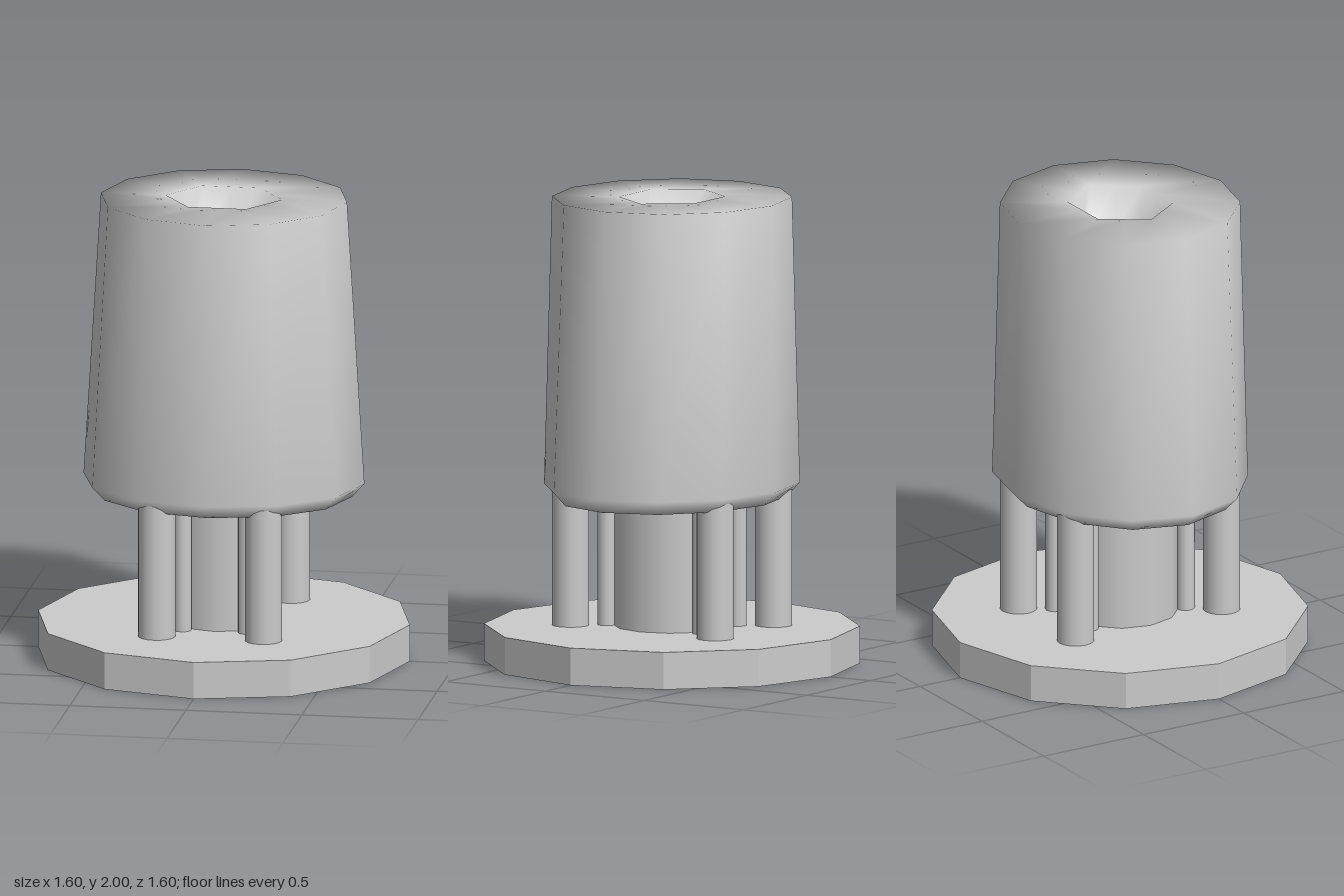
import * as THREE from 'three';

const grey = () => new THREE.MeshStandardMaterial({ color: 0xcccccc });

function add(group, name, geometry, x, y, z, flat = false) {
  const material = grey();
  material.flatShading = flat;
  const mesh = new THREE.Mesh(geometry, material);
  mesh.name = name;
  mesh.position.set(x, y, z);
  group.add(mesh);
  return mesh;
}

const SIDES = 12;

// Twelve-sided oval ring
function ovalRing(rx, rz, y) {
  return Array.from({ length: SIDES }, (_, i) => {
    const a = (i / SIDES) * Math.PI * 2;
    return [rx * Math.sin(a), y, rz * Math.cos(a)];
  });
}

// Hexagon ring with a point at the middle of each side
function hexRing(rx, rz, y) {
  const corner = (k) => {
    const a = Math.PI / 2 + (k * Math.PI) / 3;
    return [rx * Math.sin(a), y, rz * Math.cos(a)];
  };
  const points = [];
  for (let i = 0; i < SIDES; i++) {
    const k = (i - 3) / 2; // ring starts at +z, corners start at +x
    const a = corner(Math.floor(k)), b = corner(Math.ceil(k));
    points.push(a.map((v, j) => (v + b[j]) / 2));
  }
  return points;
}

// Smooth skin through the rings, closed by a centre point at both ends
function loft(rings) {
  const positions = [], index = [];
  rings.forEach((ring) => ring.forEach((p) => positions.push(...p)));
  const bottom = positions.length / 3;
  positions.push(0, rings[0][0][1], 0);
  positions.push(0, rings[rings.length - 1][0][1], 0);
  const last = (rings.length - 1) * SIDES;
  for (let i = 0; i < SIDES; i++) {
    const j = (i + 1) % SIDES;
    index.push(bottom, j, i, bottom + 1, last + i, last + j);
    for (let r = 0; r < last; r += SIDES) {
      index.push(r + i, r + j, r + SIDES + j, r + i, r + SIDES + j, r + SIDES + i);
    }
  }
  const geometry = new THREE.BufferGeometry();
  geometry.setAttribute('position', new THREE.Float32BufferAttribute(positions, 3));
  geometry.setIndex(index);
  geometry.computeVertexNormals();
  return geometry;
}

export function createModel() {
  const model = new THREE.Group();
  model.name = 'model';

  // Faceted base plate
  add(model, 'basePlate', new THREE.CylinderGeometry(0.8, 0.8, 0.16, SIDES), 0, 0.08, 0, true);

  // Central column between base and body
  add(model, 'column', new THREE.CylinderGeometry(0.25, 0.25, 0.57, SIDES), 0, 0.435, 0);

  // Four posts and four thin rods, mirrored in x and z
  for (const sx of [-1, 1]) {
    for (const sz of [-1, 1]) {
      add(model, 'post', new THREE.CylinderGeometry(0.08, 0.08, 0.68, 16), sx * 0.23, 0.49, sz * 0.365);
      add(model, 'rod', new THREE.CylinderGeometry(0.04, 0.04, 0.57, 12), sx * 0.14, 0.435, sz * 0.24);
    }
  }

  // Tapered body with a chamfered foot and a hexagonal socket in its top
  add(model, 'body', loft([
    ovalRing(0.55, 0.465, 0.71),
    ovalRing(0.605, 0.522, 0.77),
    ovalRing(0.53, 0.504, 2),
    hexRing(0.25, 0.217, 2),
    hexRing(0.25, 0.217, 1.8),
  ]), 0, 0, 0);

  return model;
}
